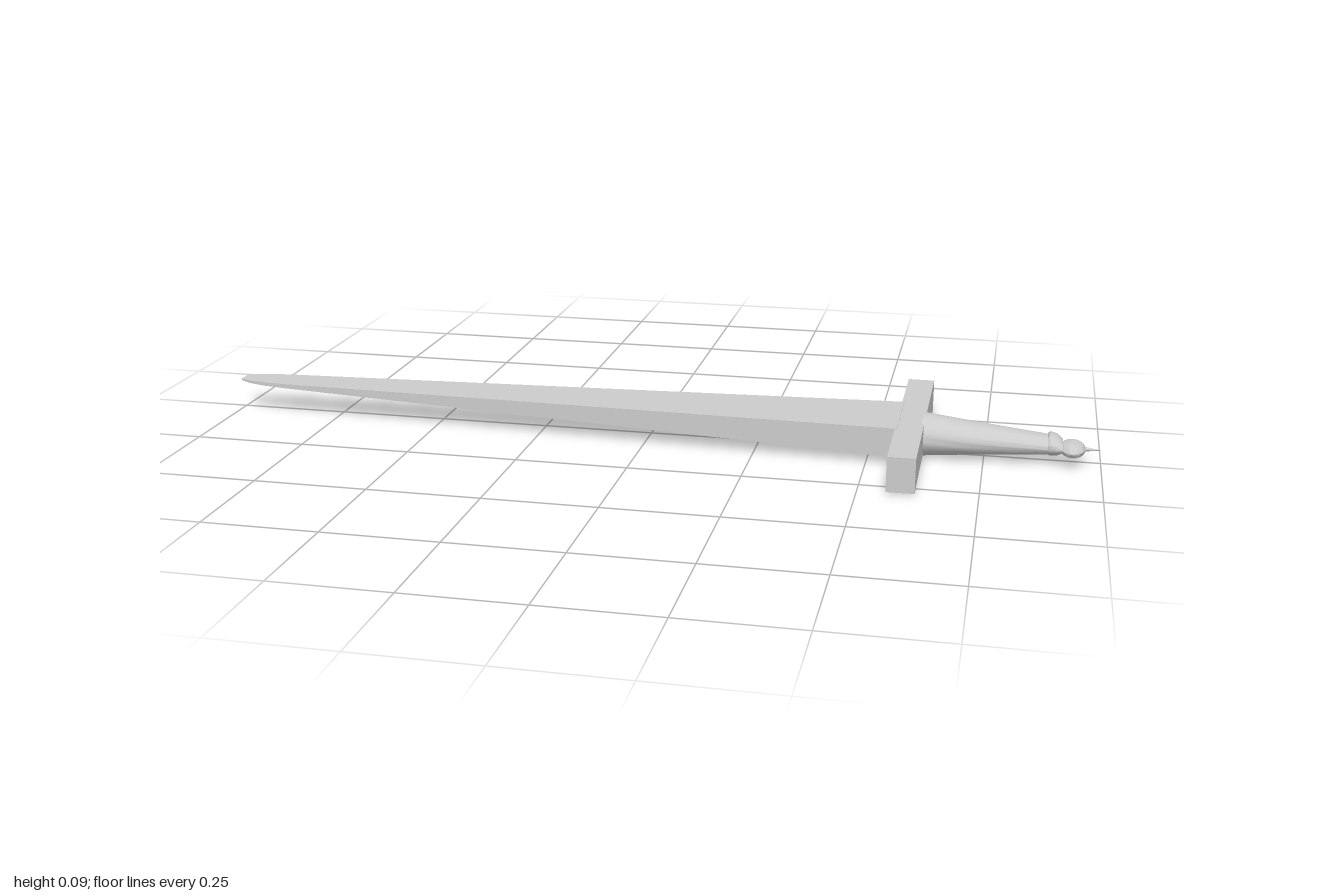
import * as THREE from 'three';
import { toCreasedNormals } from 'three/addons/utils/BufferGeometryUtils.js';

const material = new THREE.MeshStandardMaterial({ color: 0xcccccc, side: THREE.DoubleSide });

// Skin over sections [x, centreY, centreZ, halfHeight, halfDepth]; four sides give a rectangle
function loft(name, sections, sides, crease) {
  const square = sides === 4;
  const positions = [], index = [];
  const first = sections[0], last = sections[sections.length - 1];
  const rings = [[first[0], first[1], first[2], 0, 0], ...sections, [last[0], last[1], last[2], 0, 0]];
  rings.forEach(([x, y, z, h, d], i) => {
    for (let j = 0; j < sides; j++) {
      const a = ((j + (square ? 0.5 : 0)) / sides) * Math.PI * 2;
      const k = square ? Math.SQRT2 : 1;
      positions.push(x, y + Math.cos(a) * h * k, z + Math.sin(a) * d * k);
      if (i === rings.length - 1) continue;
      const p = i * sides + j, q = i * sides + (j + 1) % sides;
      if (h + d > 0) index.push(p, q, q + sides);
      if (rings[i + 1][3] + rings[i + 1][4] > 0) index.push(p, q + sides, p + sides);
      else if (h + d > 0) index.push(p, q + sides, p + sides);
    }
  });
  const geometry = new THREE.BufferGeometry();
  geometry.setAttribute('position', new THREE.Float32BufferAttribute(positions, 3));
  geometry.setIndex(index);
  const mesh = new THREE.Mesh(toCreasedNormals(geometry, crease), material);
  mesh.name = name;
  return mesh;
}

// Crossbar with its underside raised slightly along the middle of the grip side
function crossguard() {
  const geometry = new THREE.BoxGeometry(0.06, 0.077, 0.585, 1, 1, 6);
  const p = geometry.attributes.position;
  for (let i = 0; i < p.count; i++) {
    if (p.getY(i) < 0 && p.getX(i) > 0 && Math.abs(p.getZ(i)) < 0.25) p.setY(i, p.getY(i) + 0.006);
  }
  const mesh = new THREE.Mesh(toCreasedNormals(geometry, 0.3), material);
  mesh.position.set(0.59, 0.045, 0);
  mesh.name = 'crossguard';
  return mesh;
}

export function createModel() {
  const sword = new THREE.Group();
  sword.name = 'sword';

  // Blade: flat, tapering in width and thickness to a rounded tip
  sword.add(loft('blade', [
    [-1, 0.073, 0, 0.002, 0.016],
    [-0.975, 0.0725, 0.001, 0.003, 0.029],
    [-0.94, 0.072, 0.002, 0.004, 0.036],
    [-0.88, 0.071, 0.002, 0.005, 0.041],
    [0.565, 0.052, 0.002, 0.033, 0.102],
  ], 4, 0.4));

  sword.add(crossguard());

  // Grip: oval cone narrowing towards the pommel
  sword.add(loft('grip', [
    [0.615, 0.05, 0.016, 0.047, 0.06],
    [0.7, 0.048, 0.015, 0.038, 0.052],
    [0.89, 0.043, 0.011, 0.02, 0.038],
  ], 32, 0.6));

  // Collar between grip and pommel
  sword.add(loft('collar', [
    [0.885, 0.045, 0.011, 0.021, 0.038],
    [0.89, 0.045, 0.011, 0.025, 0.041],
    [0.905, 0.044, 0.012, 0.022, 0.041],
    [0.917, 0.042, 0.015, 0.013, 0.034],
  ], 32, 0.6));

  // Pommel: flattened knob
  const knob = [];
  for (let i = 0; i <= 12; i++) {
    const t = -0.95 + (1.9 * i) / 12;
    const r = Math.sqrt(1 - t * t);
    knob.push([0.938 + 0.028 * t, 0.04, 0.021, 0.016 * r, 0.047 * r]);
  }
  sword.add(loft('pommel', knob, 32, 0.9));

  // Small spike closing the pommel
  sword.add(loft('pommelSpike', [
    [0.955, 0.04, 0.021, 0.007, 0.012],
    [0.97, 0.04, 0.021, 0.004, 0.005],
    [1, 0.04, 0.021, 0.0005, 0.0005],
  ], 12, 0.9));

  return sword;
}
